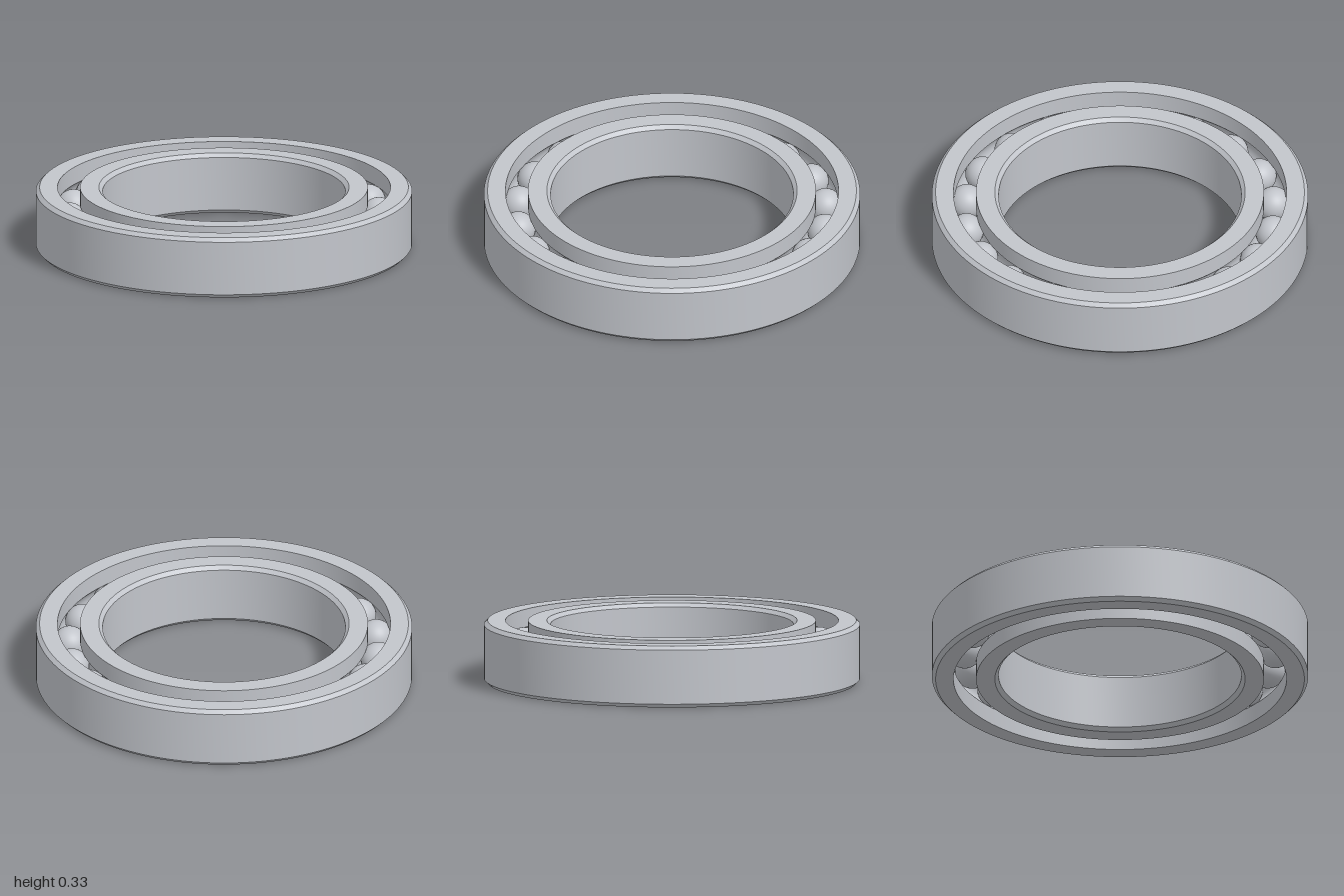
import * as THREE from 'three';
import { toCreasedNormals } from 'three/addons/utils/BufferGeometryUtils.js';

const HEIGHT = 0.33;
const CHAMFER = 0.02;
const PITCH = 0.825; // radius of the circle of ball centres
const BALL_RADIUS = 0.092;
const BALLS = 20;

// Half-section of a ball groove cut into a wall at radius r, listed from start angle to end angle
function groove(from, to) {
  const points = [];
  for (let i = 0; i <= 14; i++) {
    const a = from + ((to - from) * i) / 14;
    points.push(new THREE.Vector2(PITCH + Math.cos(a) * BALL_RADIUS, HEIGHT / 2 + Math.sin(a) * BALL_RADIUS));
  }
  return points;
}

// Turn a closed counter-clockwise section into a ring with crisp edges
function ring(name, section, material) {
  const lathe = new THREE.LatheGeometry([...section, section[0].clone()], 144);
  const mesh = new THREE.Mesh(toCreasedNormals(lathe, 0.45), material);
  mesh.name = name;
  return mesh;
}

export function createModel() {
  const model = new THREE.Group();
  model.name = 'ballBearing';
  const steel = new THREE.MeshStandardMaterial({ color: 0xc2c5cb });
  steel.name = 'steel';
  const v = (x, y) => new THREE.Vector2(x, y);
  const H = HEIGHT, C = CHAMFER;

  // Outer race: chamfered outside, grooved inside
  const outerWall = 0.885;
  const outerAngle = Math.acos((outerWall - PITCH) / BALL_RADIUS);
  model.add(ring('outerRace', [
    v(outerWall, 0), v(1 - C, 0), v(1, C), v(1, H - C), v(1 - C, H), v(outerWall, H),
    ...groove(outerAngle, -outerAngle),
  ], steel));

  // Inner race: chamfered bore, grooved outside
  const bore = 0.645, innerWall = 0.765;
  const innerAngle = Math.acos((PITCH - innerWall) / BALL_RADIUS);
  model.add(ring('innerRace', [
    v(bore + C, 0), v(innerWall, 0),
    ...groove(Math.PI + innerAngle, Math.PI - innerAngle),
    v(innerWall, H), v(bore + C, H), v(bore, H - C), v(bore, C),
  ], steel));

  // Balls evenly spaced between the races
  const balls = new THREE.Group();
  balls.name = 'balls';
  const ballGeometry = new THREE.SphereGeometry(BALL_RADIUS, 32, 20);
  for (let i = 0; i < BALLS; i++) {
    const a = (i / BALLS) * Math.PI * 2;
    const ball = new THREE.Mesh(ballGeometry, steel);
    ball.name = 'ball' + (i + 1);
    ball.position.set(Math.sin(a) * PITCH, H / 2, Math.cos(a) * PITCH);
    balls.add(ball);
  }
  model.add(balls);
  return model;
}
